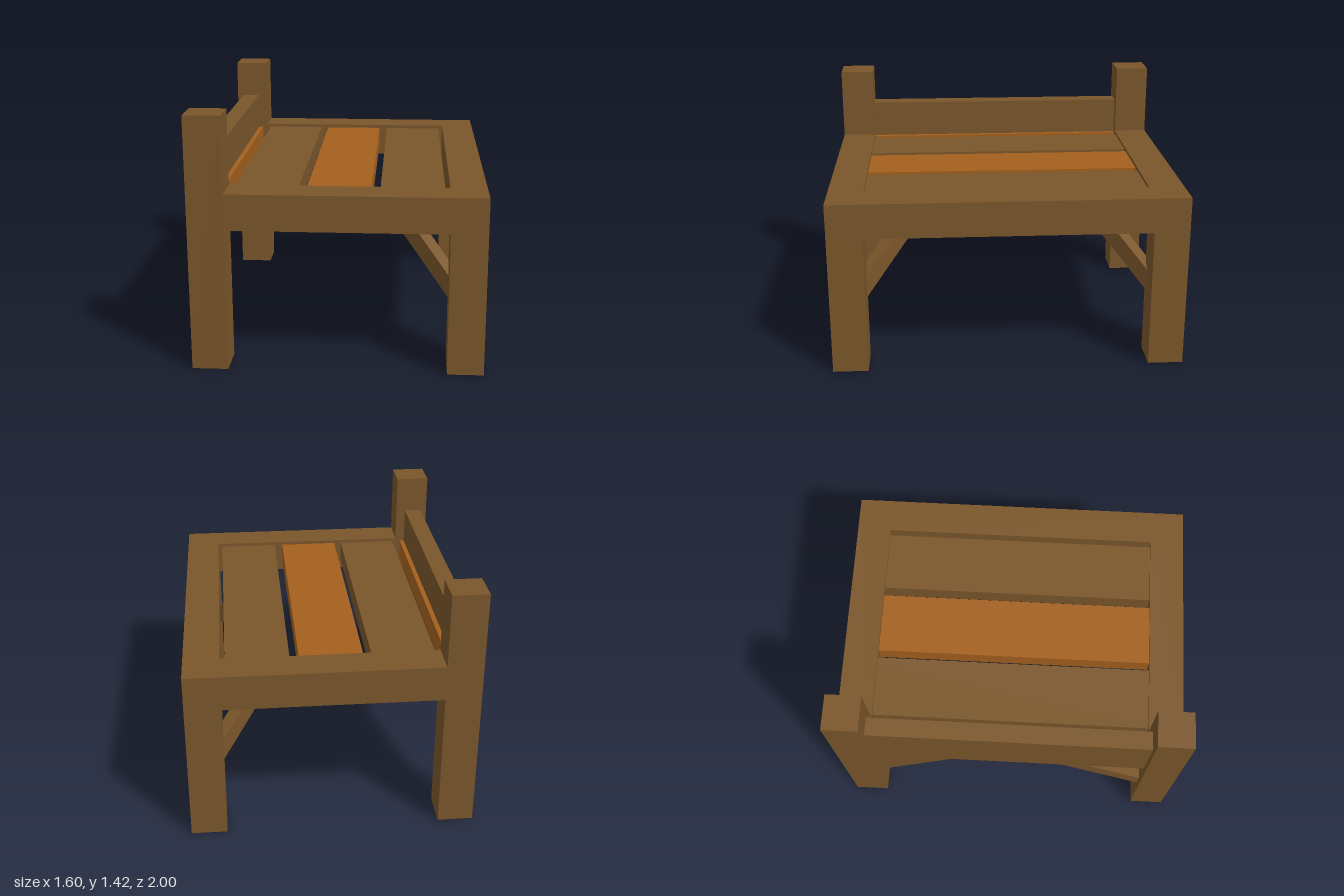
import * as THREE from 'three';

export function createModel() {
  const model = new THREE.Group();
  model.name = 'bedFrame';

  // Timbers are hollow and open underneath, so brown shows from both sides
  const brown = new THREE.MeshStandardMaterial({ color: 0x7a562a, side: THREE.DoubleSide });
  brown.name = 'brown wood';
  const orange = new THREE.MeshStandardMaterial({ color: 0xa3601d });
  orange.name = 'orange wood';

  const add = (name, geometry, material) => {
    const mesh = new THREE.Mesh(geometry, material);
    mesh.name = name;
    model.add(mesh);
    return mesh;
  };

  // Keep only the faces whose upward tilt passes the test
  const keepFaces = (source, test) => {
    const flat = source.index ? source.toNonIndexed() : source;
    const { position, normal } = flat.attributes;
    const points = [];
    const normals = [];
    for (let i = 0; i < position.count; i++) {
      if (!test(normal.getY(i))) continue;
      points.push(position.getX(i), position.getY(i), position.getZ(i));
      normals.push(normal.getX(i), normal.getY(i), normal.getZ(i));
    }
    const geometry = new THREE.BufferGeometry();
    geometry.setAttribute('position', new THREE.Float32BufferAttribute(points, 3));
    geometry.setAttribute('normal', new THREE.Float32BufferAttribute(normals, 3));
    return geometry;
  };
  const openBelow = (up) => up > -0.9;
  const openBothEnds = (up) => Math.abs(up) < 0.9;

  // Hollow timber given by its limits on each axis
  const timber = (name, [x0, x1], [y0, y1], [z0, z1], test = openBelow) => {
    const mesh = add(name, keepFaces(new THREE.BoxGeometry(x1 - x0, y1 - y0, z1 - z0), test), brown);
    mesh.position.set((x0 + x1) / 2, (y0 + y1) / 2, (z0 + z1) / 2);
  };

  // Slanted hollow timber between two points, its width kept level
  const brace = (name, from, to) => {
    const a = new THREE.Vector3(...from);
    const b = new THREE.Vector3(...to);
    const box = new THREE.BoxGeometry(0.075, 0.1, a.distanceTo(b));
    const mesh = add(name, keepFaces(box, openBelow), brown);
    mesh.position.copy(a).add(b).multiplyScalar(0.5);
    mesh.lookAt(b);
  };

  // U-shaped rail: two sides and the foot end
  const outline = new THREE.Shape([
    [-0.6, -1], [0.8, -1], [0.8, 1], [-0.6, 1],
    [-0.6, 0.8], [0.6, 0.8], [0.6, -0.8], [-0.6, -0.8],
  ].map(([x, y]) => new THREE.Vector2(x, y)));
  const rail = new THREE.ExtrudeGeometry(outline, { depth: 0.2, bevelEnabled: false });
  rail.rotateX(-Math.PI / 2).translate(0, 0.8, 0);
  add('rail', keepFaces(rail, openBelow), brown);

  // Posts, legs and braces on both sides
  for (const s of [-1, 1]) {
    const z = s < 0 ? [-1, -0.8] : [0.8, 1];
    const drop = s < 0 ? 0 : 0.02;
    timber('headPost', [-0.8, -0.6], [0, 1.42], z);
    timber('footLeg', [0.6, 0.8], [0, 0.8], z, openBothEnds);
    brace('footBrace', [0.68, 0.395, s * 0.88], [0.315, 0.807, s * 0.515]);
    brace('headBrace', [-0.722, 0.385 - drop, s * 0.89], [-0.722, 0.835 - drop, s * 0.31]);
  }

  // Headboard
  timber('headboard', [-0.76, -0.657], [0.75, 1.2], [-0.8, 0.8]);

  // Slats, their ends housed in the side rails
  const slat = (x0, x1, material) => {
    const mesh = add('slat', new THREE.BoxGeometry(x1 - x0, 0.12, 1.97), material);
    mesh.position.set((x0 + x1) / 2, 0.92, 0);
  };
  slat(-0.67, -0.63, orange);
  slat(-0.577, -0.225, brown);
  slat(-0.18, 0.173, orange);
  slat(0.223, 0.575, brown);

  return model;
}
